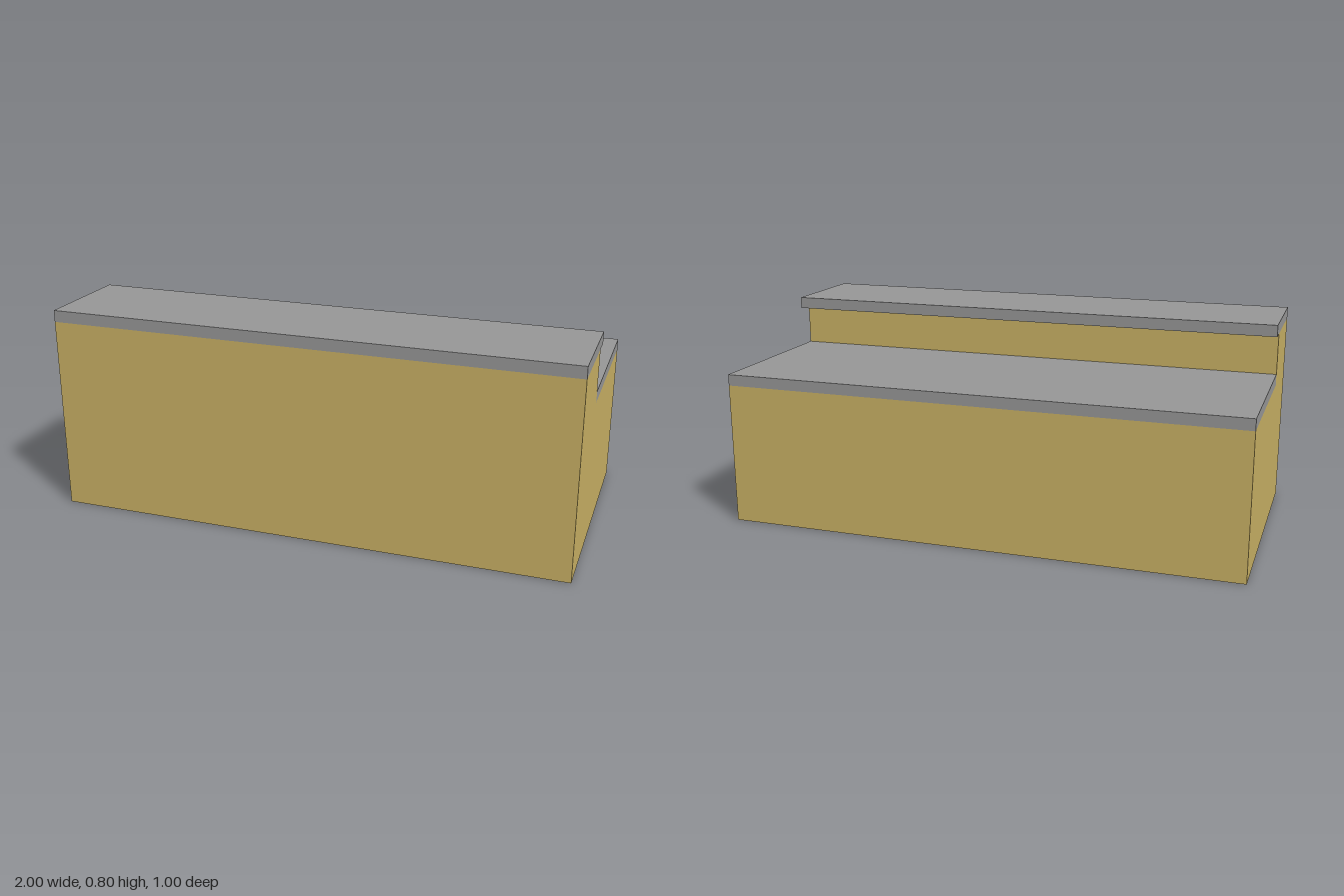
import * as THREE from 'three';

export function createModel() {
  const group = new THREE.Group();
  const tan = new THREE.MeshStandardMaterial({ color: 0xc8b064 });
  tan.name = 'tan body';
  const gray = new THREE.MeshStandardMaterial({ color: 0x969696 });
  gray.name = 'gray worktop';

  // Stepped counter body: side profile (z, y) extruded along x
  const profile = new THREE.Shape([
    [-0.5, 0], [0.5, 0], [0.5, 0.752], [0.16, 0.752], [0.16, 0.55], [-0.5, 0.55],
  ].map(([z, y]) => new THREE.Vector2(z, y)));
  const bodyGeometry = new THREE.ExtrudeGeometry(profile, { depth: 2, bevelEnabled: false });
  bodyGeometry.translate(0, 0, -1).rotateY(-Math.PI / 2);
  const body = new THREE.Mesh(bodyGeometry, tan);
  body.name = 'counterBody';
  group.add(body);

  // Full-width slabs resting on the two steps
  const addSlab = (name, z0, z1, y0, y1) => {
    const slab = new THREE.Mesh(new THREE.BoxGeometry(2, y1 - y0, z1 - z0), gray);
    slab.position.set(0, (y0 + y1) / 2, (z0 + z1) / 2);
    slab.name = name;
    group.add(slab);
  };
  addSlab('upperCountertop', 0.093, 0.5, 0.752, 0.797);
  addSlab('lowerWorktop', -0.5, 0.16, 0.55, 0.593);

  return group;
}
